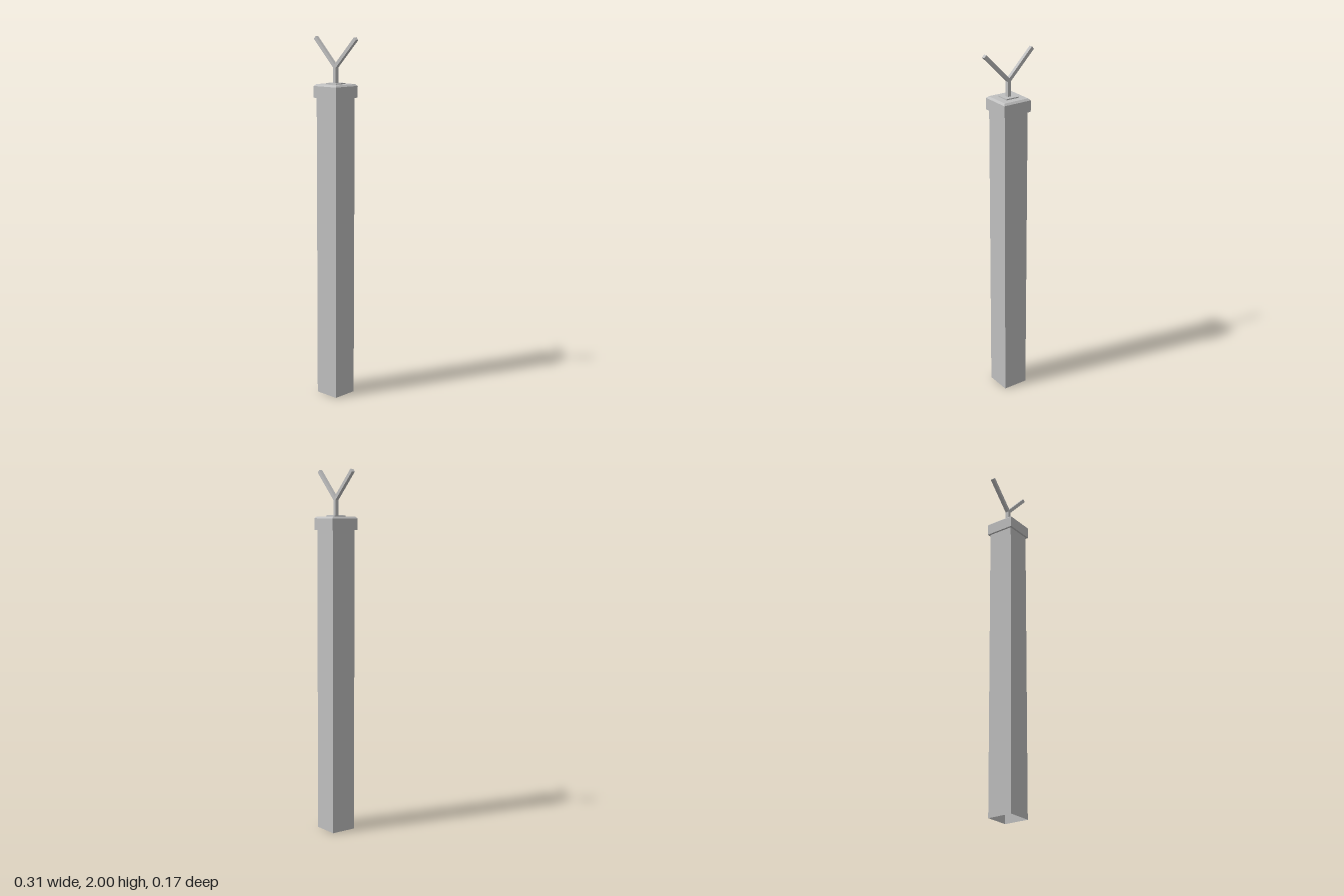
import * as THREE from 'three';

export function createModel() {
  const group = new THREE.Group();
  group.name = 'post';
  const grey = new THREE.MeshStandardMaterial({ color: 0xc0c0c0, side: THREE.DoubleSide });
  grey.name = 'grey';

  const add = (name, geometry) => {
    const mesh = new THREE.Mesh(geometry, grey);
    mesh.name = name;
    group.add(mesh);
  };

  // Square prism or frustum between two heights, given half widths
  const prism = (name, bottom, top, y0, y1, open = false) => {
    let g = new THREE.CylinderGeometry(top * Math.SQRT2, bottom * Math.SQRT2, y1 - y0, 4, 1, open);
    g.rotateY(Math.PI / 4).translate(0, (y0 + y1) / 2, 0);
    g = g.toNonIndexed();
    g.computeVertexNormals();
    add(name, g);
  };

  // Hollow column, open at the foot
  prism('column', 0.0725, 0.0725, 0, 1.68, true);

  // Cap with a bevelled top and a small mounting plate
  prism('cap', 0.084, 0.084, 1.676, 1.739);
  prism('capBevel', 0.084, 0.0735, 1.739, 1.749);
  prism('mountingPlate', 0.037, 0.037, 1.749, 1.755);

  // Forked bracket: short stem and two arms, mirrored in x
  const right = [[0.01, 1.755], [0.01, 1.837], [0.156, 1.986], [0.142, 2.0]];
  const left = right.map(([x, y]) => [-x, y]).reverse();
  const outline = [...right, [0, 1.854], ...left].map(([x, y]) => new THREE.Vector2(x, y));
  const fork = new THREE.ExtrudeGeometry(new THREE.Shape(outline), { depth: 0.02, bevelEnabled: false });
  fork.translate(0, 0, -0.01);
  add('forkBracket', fork);

  return group;
}
